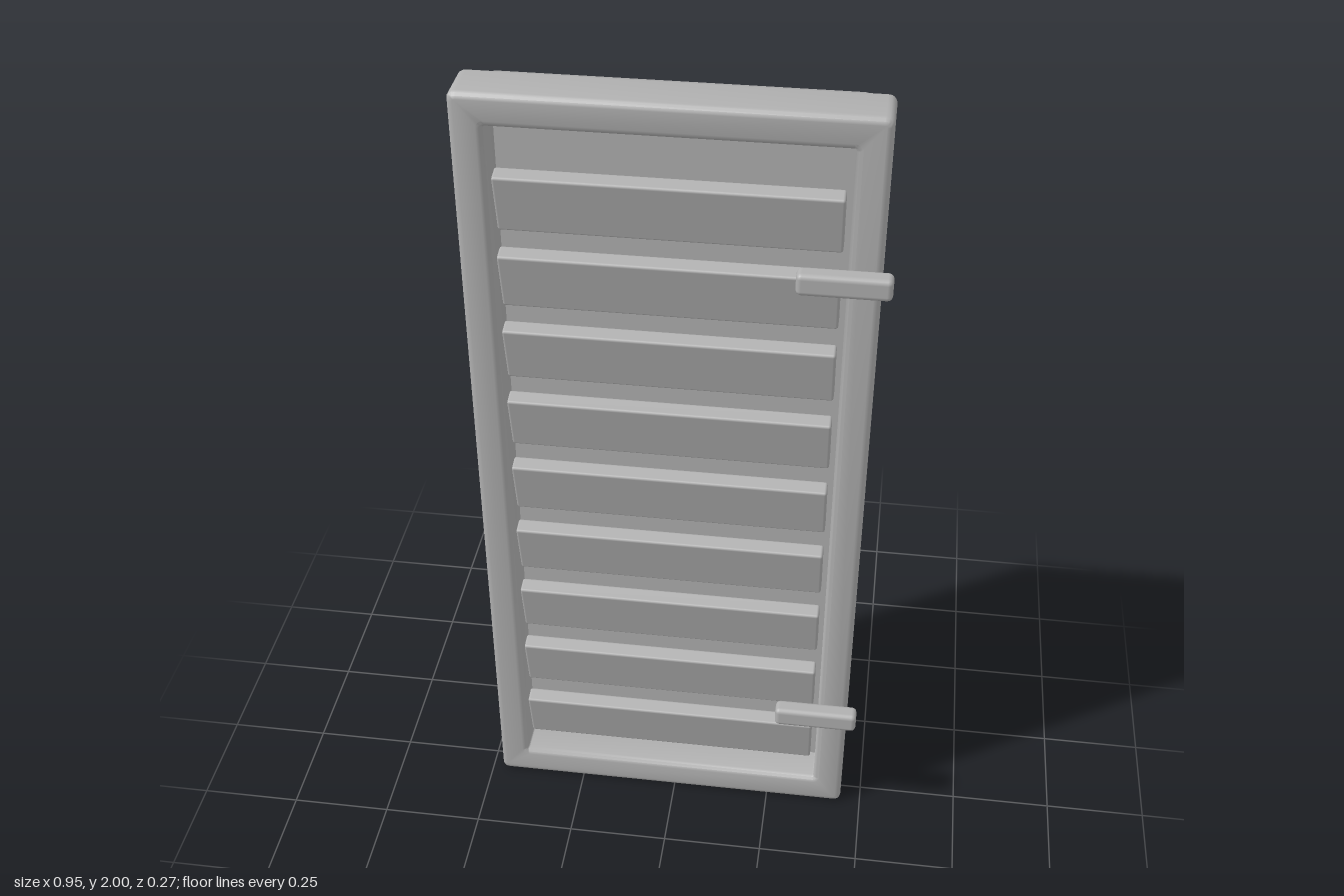
import * as THREE from 'three';
import { toCreasedNormals } from 'three/addons/utils/BufferGeometryUtils.js';
import { RoundedBoxGeometry } from 'three/addons/geometries/RoundedBoxGeometry.js';

const grey = new THREE.MeshStandardMaterial({ color: 0xb0b0b0 });
grey.name = 'grey';

// Rounded box given by its limits on each axis
function block(name, [x0, x1], [y0, y1], [z0, z1], radius, segments = 2) {
  const geometry = new RoundedBoxGeometry(x1 - x0, y1 - y0, z1 - z0, segments, radius);
  const mesh = new THREE.Mesh(geometry, grey);
  mesh.name = name;
  mesh.position.set((x0 + x1) / 2, (y0 + y1) / 2, (z0 + z1) / 2);
  return mesh;
}

// Rectangle outline with rounded corners
function outline(path, x0, x1, y0, y1, r) {
  path.moveTo(x0 + r, y0);
  path.lineTo(x1 - r, y0);
  path.quadraticCurveTo(x1, y0, x1, y0 + r);
  path.lineTo(x1, y1 - r);
  path.quadraticCurveTo(x1, y1, x1 - r, y1);
  path.lineTo(x0 + r, y1);
  path.quadraticCurveTo(x0, y1, x0, y1 - r);
  path.lineTo(x0, y0 + r);
  path.quadraticCurveTo(x0, y0, x0 + r, y0);
  return path;
}

// Frame with softened outer and inner edges
function makeFrame() {
  const bevel = 0.015, back = -0.065, front = 0.06;
  const shape = outline(new THREE.Shape(), -0.474, 0.448, 0, 2, 0.02);
  shape.holes.push(outline(new THREE.Path(), -0.4, 0.373, 0.08, 1.925, 0.004));
  const geometry = new THREE.ExtrudeGeometry(shape, {
    depth: front - back - 2 * bevel,
    bevelThickness: bevel,
    bevelSize: bevel,
    bevelOffset: -bevel,
    bevelSegments: 3,
    curveSegments: 4,
  });
  geometry.translate(0, 0, back + bevel);
  const mesh = new THREE.Mesh(toCreasedNormals(geometry, 0.7), grey);
  mesh.name = 'frame';
  return mesh;
}

export function createModel() {
  const model = new THREE.Group();
  model.name = 'louvredShutter';
  model.add(makeFrame());

  // Solid panel closing the back
  model.add(block('backPanel', [-0.443, 0.417], [0.03, 1.975], [-0.138, -0.035], 0.036));

  // Nine slats, their tops leaning forward
  const slats = new THREE.Group();
  slats.name = 'slats';
  for (let i = 0; i < 9; i++) {
    const y = 0.221 + i * 0.1913;
    const slat = block('slat', [-0.386, 0.36], [y - 0.072, y + 0.072], [0.021, 0.061], 0.006);
    slat.rotation.x = 0.21;
    slats.add(slat);
  }
  model.add(slats);

  // Two hinge bars standing off the front
  for (const [name, y] of [['lowerHinge', 0.366], ['upperHinge', 1.642]]) {
    model.add(block(name, [0.267, 0.472], [y - 0.026, y + 0.026], [0.088, 0.133], 0.012));
  }
  return model;
}
